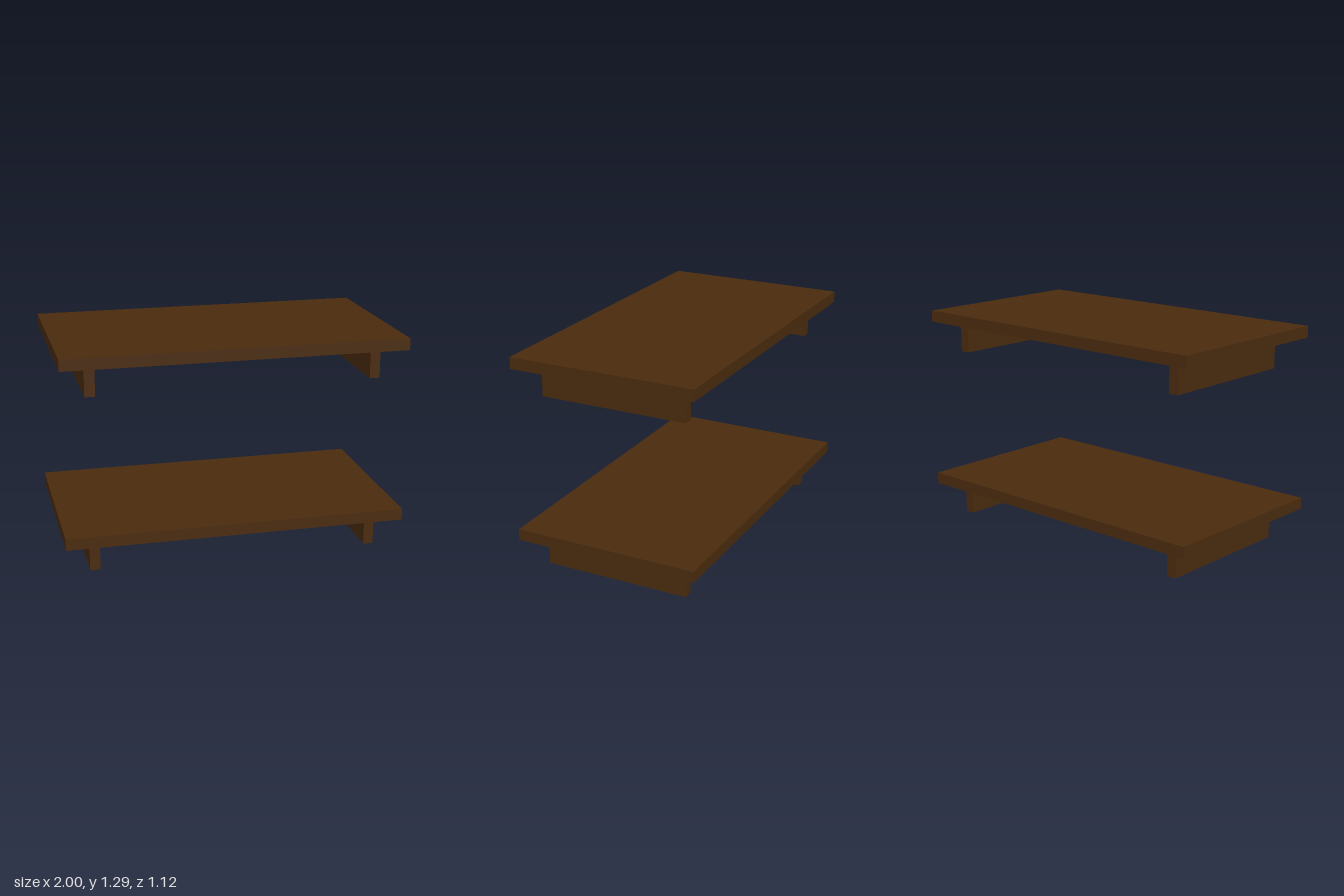
import * as THREE from 'three';

const wood = new THREE.MeshStandardMaterial({ name: 'darkWood', color: 0x4a2b0e });

function addBox(parent, name, size, position) {
  const mesh = new THREE.Mesh(new THREE.BoxGeometry(...size), wood);
  mesh.name = name;
  mesh.position.set(...position);
  parent.add(mesh);
}

// One low table: a flat board on two upright plank supports
function createTable(name, y) {
  const table = new THREE.Group();
  table.name = name;
  table.position.y = y;
  addBox(table, 'tableTop', [2, 0.068, 1.116], [0, 0.219, 0]);
  addBox(table, 'leftSupport', [0.06, 0.185, 0.887], [0.836, 0.0925, 0.001]);
  addBox(table, 'rightSupport', [0.06, 0.185, 0.887], [-0.823, 0.0925, 0.001]);
  return table;
}

export function createModel() {
  const model = new THREE.Group();
  model.name = 'lowTables';
  model.add(createTable('lowerTable', 0), createTable('upperTable', 1.04));
  return model;
}
